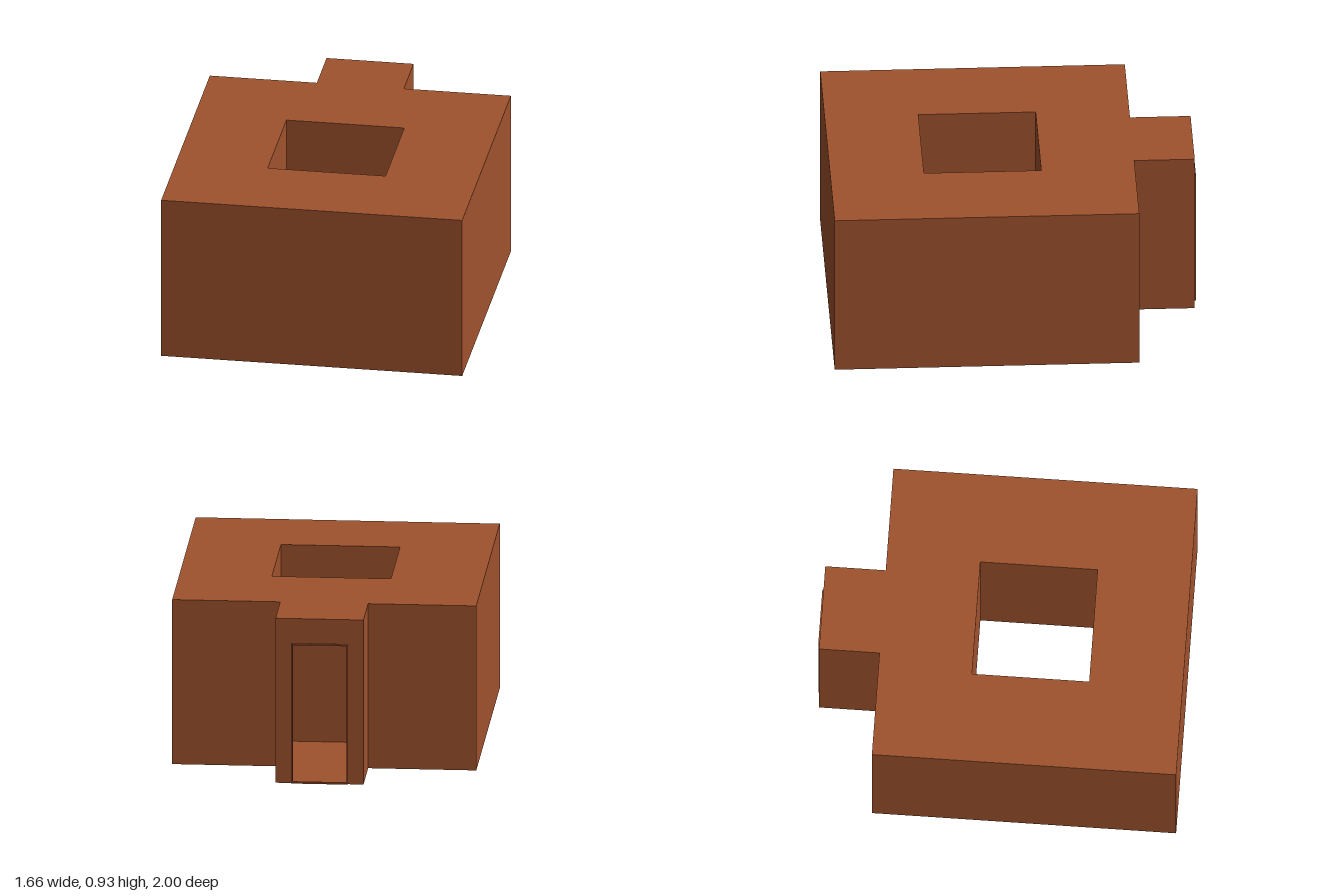
import * as THREE from 'three';

const H = 0.93;
const DOOR = 0.155, DOOR_TOP = 0.79, BACK = -0.99;
// Footprints as [x, z], ordered so each wall faces outward
const OUTLINE = [[-0.83, 1], [0.83, 1], [0.83, -0.66], [0.24, -0.66], [0.24, BACK], [-0.24, BACK], [-0.24, -0.66], [-0.83, -0.66]];
const SHAFT = [[-0.325, 0.49], [-0.325, -0.15], [0.325, -0.15], [0.325, 0.49]];

export function createModel() {
  const group = new THREE.Group();
  const clay = new THREE.MeshStandardMaterial({ color: 0xa0522d, side: THREE.DoubleSide });
  const dark = new THREE.MeshStandardMaterial({ color: 0x2a1c16 });

  const add = (name, geometry, material, x = 0, y = 0, z = 0, parent = group) => {
    const mesh = new THREE.Mesh(geometry, material);
    mesh.name = name;
    mesh.position.set(x, y, z);
    parent.add(mesh);
    return mesh;
  };

  // Thin upright wall between two floor points
  const wall = (name, [x1, z1], [x2, z2]) => {
    const length = Math.hypot(x2 - x1, z2 - z1);
    const mesh = add(name, new THREE.PlaneGeometry(length, H), clay, (x1 + x2) / 2, H / 2, (z1 + z2) / 2);
    mesh.rotation.y = Math.atan2(z1 - z2, x2 - x1);
  };
  OUTLINE.forEach((p, i) => {
    if (i !== 4) wall('outerWall', p, OUTLINE[(i + 1) % OUTLINE.length]); // the porch end holds the doorway
  });
  SHAFT.forEach((p, i) => wall('courtyardWall', p, SHAFT[(i + 1) % SHAFT.length]));

  // Floor and roof share the ring-shaped plan
  const toPoints = (list) => list.map(([x, z]) => new THREE.Vector2(x, -z));
  const plan = new THREE.Shape(toPoints(OUTLINE));
  plan.holes.push(new THREE.Path(toPoints(SHAFT)));
  const slab = new THREE.ShapeGeometry(plan).rotateX(-Math.PI / 2);
  add('floor', slab, clay);
  add('roof', slab, clay, 0, H, 0);

  // Porch end wall with its doorway
  const porch = new THREE.Shape([
    [-0.24, 0], [-DOOR, 0], [-DOOR, DOOR_TOP], [DOOR, DOOR_TOP], [DOOR, 0], [0.24, 0], [0.24, H], [-0.24, H],
  ].map(([x, y]) => new THREE.Vector2(x, y)));
  add('doorWall', new THREE.ShapeGeometry(porch).rotateY(Math.PI), clay, 0, 0, BACK);

  // Slim frame standing just proud of the doorway
  const bar = 0.008, depth = 0.02;
  for (const s of [-1, 1]) {
    add('doorJamb', new THREE.BoxGeometry(bar, DOOR_TOP, depth), clay, s * (DOOR - bar / 2), DOOR_TOP / 2, BACK);
  }
  add('doorLintel', new THREE.BoxGeometry(2 * DOOR, bar, depth), clay, 0, DOOR_TOP - bar / 2, BACK);
  add('doorSill', new THREE.BoxGeometry(2 * DOOR, bar, depth), clay, 0, bar / 2, BACK);

  // Small ceiling lamps along the ring corridor
  const lamp = new THREE.CylinderGeometry(0.015, 0.025, 0.03, 8);
  for (const z of [0.73, -0.02, -0.405]) {
    for (const x of z === -0.02 ? [-0.56, 0.56] : [-0.56, -0.18, 0.18, 0.56]) {
      add('ceilingLamp', lamp, dark, x, H - 0.02, z);
    }
  }

  // Barrel in one back corner
  const barrel = [[0, 0], [0.045, 0], [0.058, 0.08], [0.045, 0.16], [0, 0.16]].map(([r, y]) => new THREE.Vector2(r, y));
  add('barrel', new THREE.LatheGeometry(barrel, 10), dark, 0.765, 0.003, -0.425);

  // Small turned table in the other back corner
  const table = new THREE.Group();
  table.name = 'table';
  table.position.set(-0.7, 0.003, -0.53);
  table.rotation.y = -0.45;
  group.add(table);
  add('tableTop', new THREE.BoxGeometry(0.17, 0.015, 0.17), dark, 0, 0.2, 0, table);
  for (const x of [-0.07, 0.07]) {
    for (const z of [-0.07, 0.07]) {
      add('tableLeg', new THREE.BoxGeometry(0.015, 0.2, 0.015), dark, x, 0.1, z, table);
    }
  }
  return group;
}
